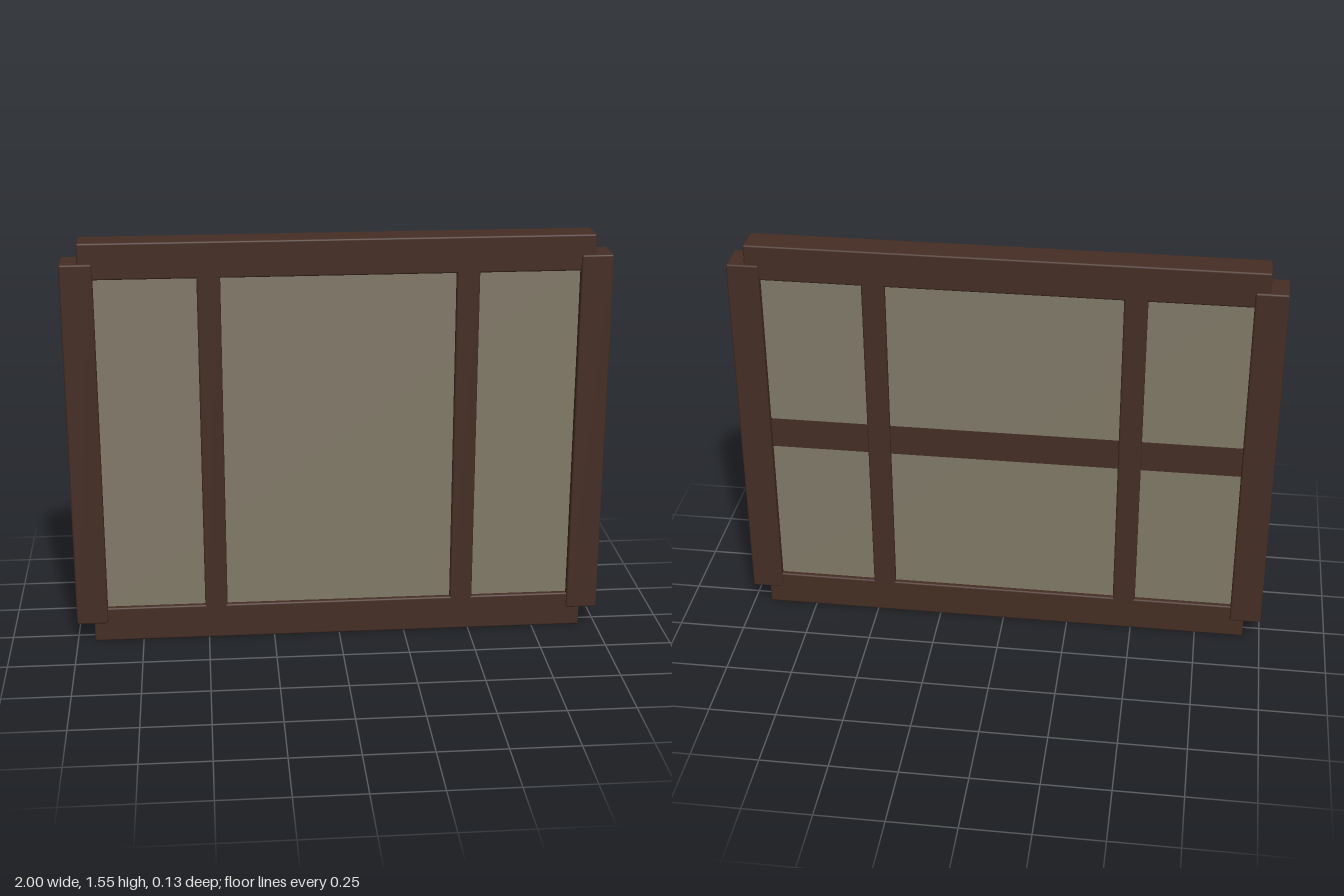
import * as THREE from 'three';
import { RoundedBoxGeometry } from 'three/addons/geometries/RoundedBoxGeometry.js';

export function createModel() {
  const model = new THREE.Group();
  model.name = 'framedWindow';

  const darkWood = new THREE.MeshStandardMaterial({ color: 0x452e24 });
  darkWood.name = 'darkWood';
  const paneGrey = new THREE.MeshStandardMaterial({ color: 0x827a69 });
  paneGrey.name = 'paneGrey';

  // Softly bevelled timber, placed by its centre
  function beam(name, w, h, d, x, y, z = 0) {
    const mesh = new THREE.Mesh(new RoundedBoxGeometry(w, h, d, 2, 0.007), darkWood);
    mesh.name = name;
    mesh.position.set(x, y, z);
    model.add(mesh);
  }

  const midY = 0.775;

  // Top and bottom rails
  beam('topRail', 1.87, 0.135, 0.116, 0, 1.4825);
  beam('bottomRail', 1.87, 0.135, 0.116, 0, 0.0675);

  // Outer posts (thicker than the rails) and inner mullions
  for (const [side, s] of [['left', 1], ['right', -1]]) {
    beam(side + 'Post', 0.118, 1.4, 0.132, s * 0.941, midY);
    beam(side + 'Mullion', 0.085, 1.34, 0.116, s * 0.47, midY);
  }

  // Recessed pane running behind the mullions
  const pane = new THREE.Mesh(new THREE.BoxGeometry(1.8, 1.31, 0.08), paneGrey);
  pane.name = 'pane';
  pane.position.y = midY;
  model.add(pane);

  // Middle rail, level with the rear of the pane
  const middleRail = new THREE.Mesh(new THREE.BoxGeometry(1.8, 0.12, 0.078), darkWood);
  middleRail.name = 'middleRail';
  middleRail.position.set(0, midY, -0.003);
  model.add(middleRail);

  return model;
}
